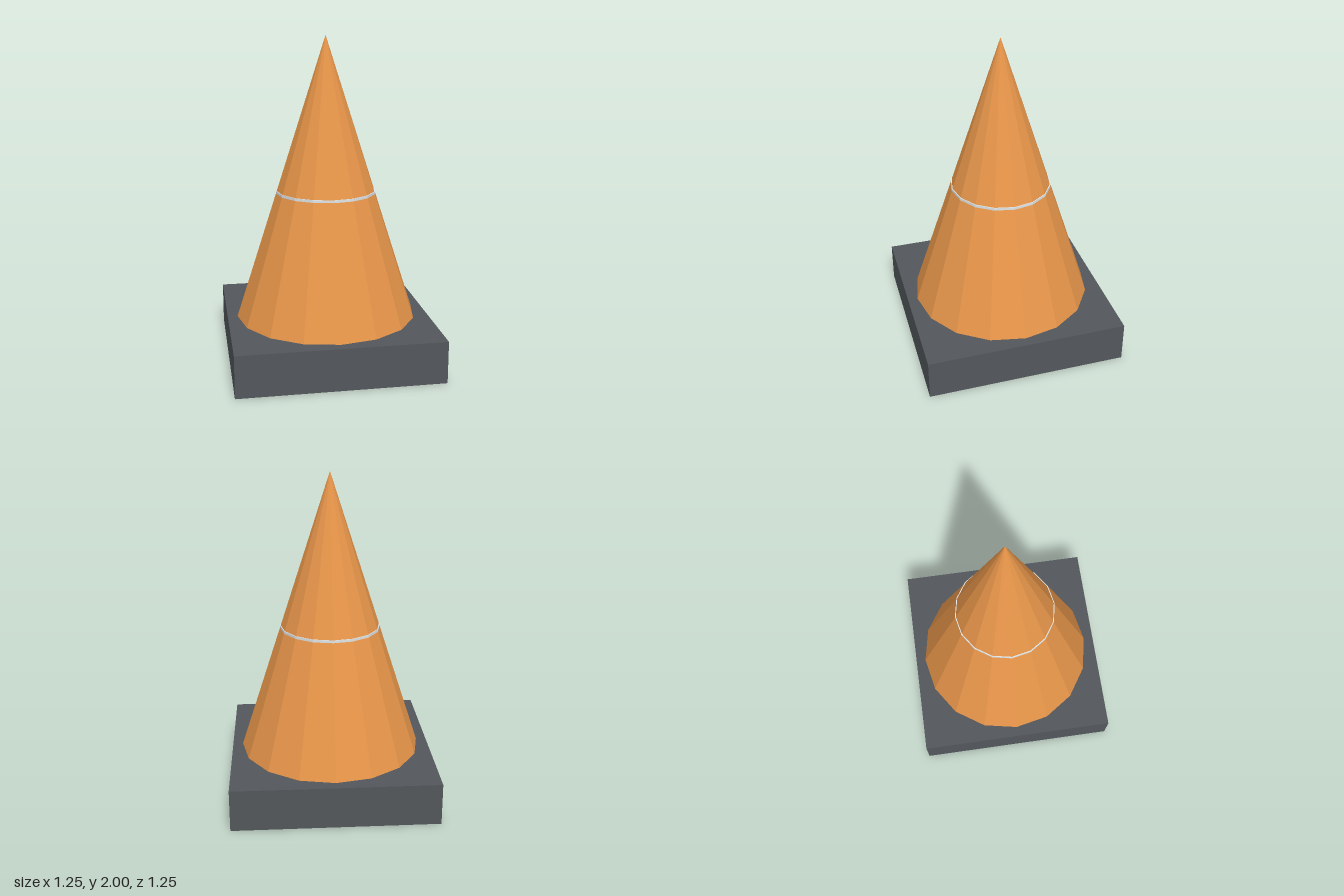
import * as THREE from 'three';

export function createModel() {
  const group = new THREE.Group();
  const orange = new THREE.MeshStandardMaterial({ color: 0xe8964a });
  const darkGrey = new THREE.MeshStandardMaterial({ color: 0x53575b });
  const white = new THREE.MeshStandardMaterial({ color: 0xecf0f1 });
  const SIDES = 16;

  const add = (name, geometry, material, y) => {
    const mesh = new THREE.Mesh(geometry, material);
    mesh.name = name;
    mesh.position.y = y;
    group.add(mesh);
  };
  // Faceted look: separate the faces so each has its own normal
  const faceted = (geometry) => {
    const flat = geometry.toNonIndexed();
    flat.computeVertexNormals();
    return flat;
  };

  // Square foot
  add('base', new THREE.BoxGeometry(1.25, 0.26, 1.25), darkGrey, 0.13);

  // Sixteen-sided cone, rising from the foot to a point
  add('cone', faceted(new THREE.ConeGeometry(0.563, 1.74, SIDES)), orange, 1.13);

  // Thin ring whose upper rim just clears the cone
  add('stripe', faceted(new THREE.CylinderGeometry(0.31, 0.31, 0.028, SIDES)), white, 1.044);

  return group;
}
